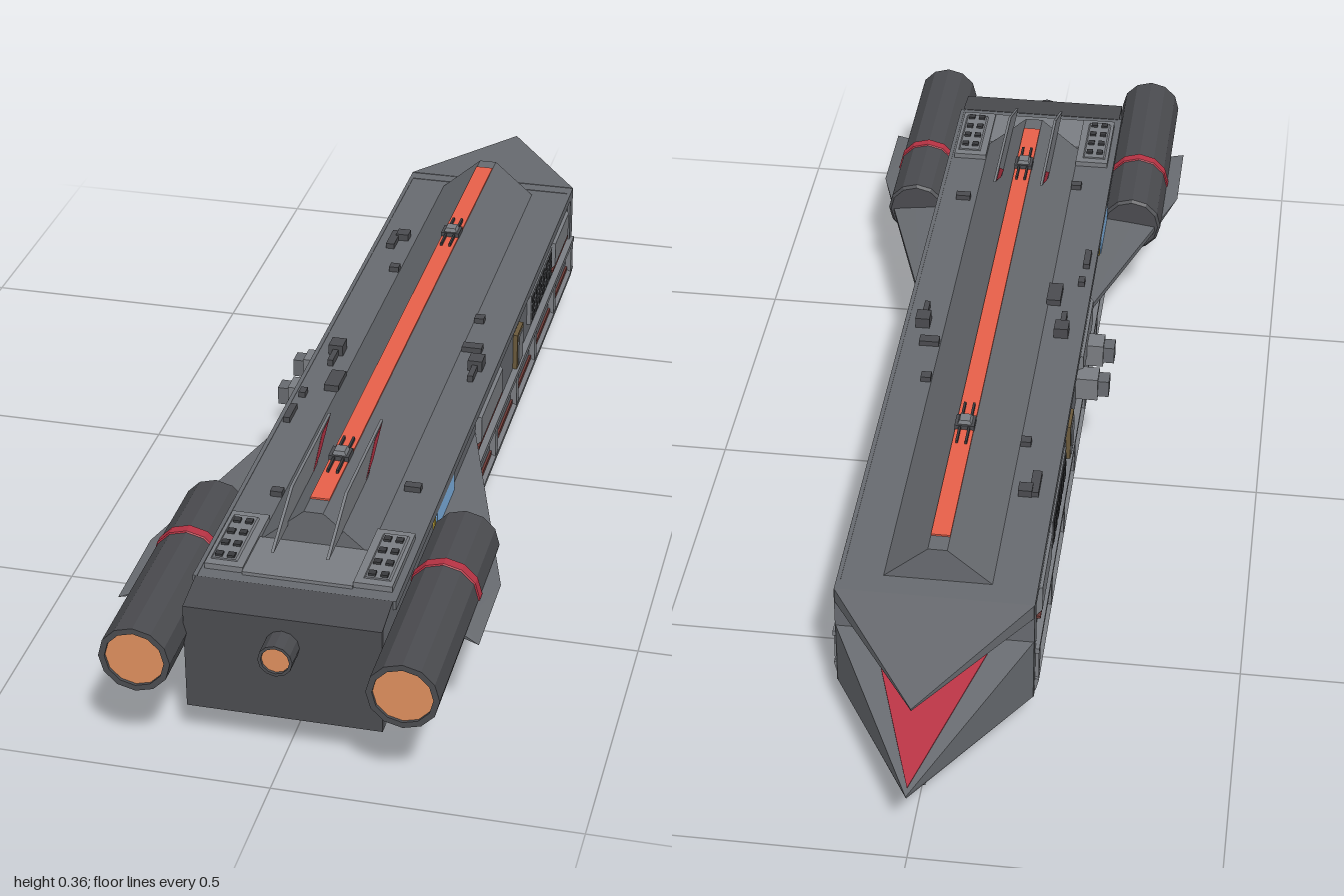
import * as THREE from 'three';
import { ConvexGeometry } from 'three/addons/geometries/ConvexGeometry.js';

const paint = (color) => new THREE.MeshStandardMaterial({ color, flatShading: true });
const HULL = paint(0x686b70), DARK = paint(0x4b4c50), LIGHT = paint(0x7b7e83), BLACK = paint(0x3a3b3e);
const RED = paint(0xb83344), ORANGE = paint(0xe8604a), GLOW = paint(0xe0905f);
const BLUE = paint(0x7fb4e6), YELLOW = paint(0xb39a35), BROWN = paint(0x6b5a3c), RUST = paint(0x6e3a36);

function add(parent, name, geometry, material) {
  const mesh = new THREE.Mesh(geometry, material);
  mesh.name = name;
  parent.add(mesh);
  return mesh;
}

// Box given by its extents on each axis
function box(parent, name, material, x0, x1, y0, y1, z0, z1) {
  const g = new THREE.BoxGeometry(Math.abs(x1 - x0), Math.abs(y1 - y0), Math.abs(z1 - z0));
  g.translate((x0 + x1) / 2, (y0 + y1) / 2, (z0 + z1) / 2);
  return add(parent, name, g, material);
}

// Convex solid from [x, y, z] corners
const solid = (parent, name, material, pts) =>
  add(parent, name, new ConvexGeometry(pts.map((p) => new THREE.Vector3(...p))), material);

// Same, with every corner mirrored across the centre plane
const mirrored = (parent, name, material, pts) =>
  solid(parent, name, material, pts.flatMap(([x, y, z]) => (x ? [[x, y, z], [-x, y, z]] : [[x, y, z]])));

// Lathe whose axis runs along z; profile is [radius, z]
function turned(parent, name, material, profile, x, y, sides = 12) {
  const g = new THREE.LatheGeometry(profile.map(([r, z]) => new THREE.Vector2(r, z)), sides);
  g.rotateX(Math.PI / 2);
  g.translate(x, y, 0);
  return add(parent, name, g, material);
}

function buildHull(root) {
  mirrored(root, 'body', HULL, [
    [0.16, 0.072, 0.9], [0.16, 0.259, 0.9], [0.16, 0.27, 0.84], [0.16, 0.27, -0.68], [0.16, 0.072, -0.68]]);
  box(root, 'sternPlate', DARK, -0.16, 0.16, 0.072, 0.259, 0.9, 0.912);
  mirrored(root, 'sternSlope', DARK, [
    [0.16, 0.271, 0.84], [0.16, 0.26, 0.912], [0.16, 0.25, 0.912], [0.16, 0.25, 0.84]]);
  box(root, 'bellyPlate', BLACK, -0.155, 0.155, 0.07, 0.073, -0.68, 0.9);

  // Raised roof, ridge strip and end brackets
  mirrored(root, 'roof', HULL, [
    [0.09, 0.27, 0.715], [0.016, 0.334, 0.715], [0.09, 0.27, -0.635], [0.016, 0.334, -0.635]]);
  box(root, 'ridgeStrip', ORANGE, -0.016, 0.016, 0.332, 0.337, -0.6, 0.675);
  box(root, 'roofDeck', LIGHT, -0.09, 0.09, 0.27, 0.276, 0.715, 0.82);
  for (const z of [-0.3, 0.54]) {
    box(root, 'ridgeBracket', DARK, -0.017, 0.017, 0.335, 0.345, z - 0.016, z + 0.016);
    mirrored(root, 'ridgeBracketCap', LIGHT, [
      [0.012, 0.345, z - 0.012], [0.012, 0.345, z + 0.012], [0.009, 0.352, z - 0.01], [0.009, 0.352, z + 0.01]]);
    for (const x of [-0.008, 0.008])
      box(root, 'ridgeRod', BLACK, x - 0.002, x + 0.002, 0.337, 0.343, z - 0.055, z + 0.055);
  }

  // Split nose
  mirrored(root, 'lowerNose', HULL, [
    [0.165, 0.074, -0.68], [0.165, 0.195, -0.68], [0, 0.134, -1], [0, 0.126, -0.995]]);
  mirrored(root, 'noseRedPanel', RED, [
    [0.1, 0.195, -0.69], [0, 0.139, -0.985], [0.1, 0.187, -0.69], [0, 0.131, -0.98]]);
  mirrored(root, 'upperNose', HULL, [
    [0.165, 0.272, -0.68], [0.165, 0.245, -0.68], [0, 0.257, -0.932], [0, 0.252, -0.93]]);
  box(root, 'noseCollar', HULL, -0.165, 0.165, 0.075, 0.271, -0.682, -0.655);

  // Keel with a red seam
  mirrored(root, 'keel', LIGHT, [
    [0.02, 0.072, 0.765], [0.005, 0, 0.765], [0.02, 0.072, -0.835], [0.005, 0, -0.835]]);
  box(root, 'keelSeam', RUST, -0.021, 0.021, 0.067, 0.071, -0.67, 0.765);

  // Central thruster
  turned(root, 'centreThruster', DARK, [[0.028, 0.9], [0.028, 0.955], [0.023, 0.955], [0.023, 0.948]], 0, 0.21);
  turned(root, 'centreThrusterGlow', GLOW, [[0.024, 0.947], [0.024, 0.95], [0, 0.95]], 0, 0.21);
}

function buildSide(root, s) {
  const side = new THREE.Group();
  side.name = s > 0 ? 'leftSide' : 'rightSide';
  root.add(side);
  const b = (name, mat, x0, x1, ...rest) => box(side, name, mat, s * x0, s * x1, ...rest);
  const c = (name, mat, pts) => solid(side, name, mat, pts.map(([x, y, z]) => [s * x, y, z]));

  // Framed lower band
  b('bandTopRail', LIGHT, 0.158, 0.172, 0.16, 0.17, -0.67, 0.85);
  c('bandBottomRail', LIGHT, [-0.67, 0.85].flatMap((z) => [
    [0.158, 0.076, z], [0.167, 0.08, z], [0.172, 0.102, z], [0.158, 0.108, z]]));
  b('bandSeam', RUST, 0.158, 0.164, 0.105, 0.113, -0.66, 0.84);
  for (const z of [0.84, 0.66, 0.485, 0.3, 0.09, -0.1, -0.275, -0.47, -0.655])
    b('bandRib', LIGHT, 0.158, 0.171, 0.1, 0.165, z - 0.01, z + 0.01);
  b('upperTrim', HULL, 0.158, 0.165, 0.255, 0.271, -0.66, 0.84);

  // Raised boxes on the upper wall
  for (const [z0, z1] of [[0.03, 0.23], [-0.62, -0.46]]) {
    c('wallBox', LIGHT, [[0.158, 0.195, z0], [0.158, 0.258, z0], [0.158, 0.195, z1], [0.158, 0.258, z1],
      [0.17, 0.203, z0 + 0.01], [0.17, 0.25, z0 + 0.01], [0.17, 0.203, z1 - 0.01], [0.17, 0.25, z1 - 0.01]]);
    b('wallBoxSeam', RUST, 0.158, 0.168, 0.192, 0.197, z0, z1);
  }

  // Vent grid
  b('ventPlate', LIGHT, 0.158, 0.168, 0.195, 0.255, -0.445, -0.235);
  for (let i = 0; i < 6; i++) for (let j = 0; j < 3; j++) {
    const z = -0.425 + i * 0.034, y = 0.207 + j * 0.018;
    b('ventHole', BLACK, 0.166, 0.1695, y - 0.006, y + 0.006, z - 0.011, z + 0.011);
  }

  // Door and bay window
  b('doorFrame', BROWN, 0.158, 0.168, 0.168, 0.24, -0.16, -0.105);
  b('door', LIGHT, 0.166, 0.17, 0.175, 0.233, -0.152, -0.113);
  b('windowFrame', YELLOW, 0.158, 0.163, 0.166, 0.262, 0.412, 0.56);
  b('window', BLUE, 0.161, 0.165, 0.172, 0.255, 0.42, 0.55);

  // Wing, thick at the root and sharp at the tip
  c('wing', HULL, [[0.158, 0.224, 0.22], [0.158, 0.214, 0.22], [0.158, 0.222, 0.75], [0.158, 0.19, 0.75],
    [0.26, 0.21, 0.55], [0.26, 0.198, 0.55], [0.295, 0.205, 0.66], [0.295, 0.203, 0.83], [0.26, 0.21, 0.79]]);

  // Engine
  const x = s * 0.213, y = 0.21;
  turned(side, 'engine', DARK, [[0, 0.545], [0.052, 0.545], [0.057, 0.55], [0.058, 1], [0.048, 1], [0.048, 0.99]], x, y);
  turned(side, 'engineBand', RED, [[0.057, 0.696], [0.0595, 0.698], [0.0595, 0.716], [0.057, 0.718]], x, y);
  turned(side, 'engineGlow', GLOW, [[0.049, 0.985], [0.049, 0.995], [0, 0.995]], x, y);

  // Swept tail fin with a red leading tip
  const fin = (name, mat, w, pts) => c(name, mat,
    pts.flatMap(([z, h]) => [[0.045 - w, h, z], [0.045 + w, h, z]]));
  fin('tailFin', LIGHT, 0.0025, [[0.8, 0.305], [0.68, 0.356], [0.44, 0.356], [0.55, 0.305]]);
  fin('tailFinTip', RED, 0.003, [[0.5, 0.351], [0.45, 0.354], [0.515, 0.32], [0.56, 0.31]]);

  // Stern pad with studs
  b('sternPad', LIGHT, 0.09, 0.153, 0.268, 0.28, 0.655, 0.815);
  c('sternPadCap', LIGHT, [0.67, 0.8].flatMap((z) => [
    [0.102, 0.279, z], [0.148, 0.279, z], [0.106, 0.283, z], [0.144, 0.283, z]]));
  for (let i = 0; i < 4; i++) for (const px of [0.115, 0.135])
    b('padStud', BLACK, px - 0.006, px + 0.006, 0.28, 0.287, 0.682 + i * 0.034, 0.694 + i * 0.034);

  // Belly hatches: bevelled frame around a dark opening
  for (const z of [0.21, 0.45, 0.68]) {
    b('hatchBase', BROWN, 0.045, 0.107, 0.067, 0.072, z - 0.085, z + 0.085);
    for (const e of [-1, 1]) {
      b('hatchEnd', HULL, 0.055, 0.097, 0.056, 0.068, z + e * 0.075 - 0.01, z + e * 0.075 + 0.01);
      b('hatchRail', HULL, 0.076 + e * 0.02 - 0.005, 0.076 + e * 0.02 + 0.005, 0.056, 0.068, z - 0.075, z + 0.075);
    }
    b('hatchFloor', BLACK, 0.06, 0.092, 0.064, 0.068, z - 0.07, z + 0.07);
  }
}

// Small deck fittings: [x, z, half width, half length, height]
function buildFittings(root) {
  const fittings = [
    [-0.13, -0.37, 0.008, 0.03, 0.01], [-0.115, -0.39, 0.012, 0.012, 0.013], [-0.1, -0.255, 0.009, 0.009, 0.01],
    [-0.125, 0.08, 0.013, 0.015, 0.02], [-0.125, 0.115, 0.005, 0.02, 0.012], [-0.1, 0.195, 0.013, 0.028, 0.012],
    [-0.148, 0.32, 0.006, 0.025, 0.01], [-0.145, 0.245, 0.006, 0.01, 0.01], [-0.1, 0.575, 0.01, 0.008, 0.01],
    [0.13, 0.08, 0.013, 0.015, 0.02], [0.13, 0.115, 0.005, 0.02, 0.012], [0.11, 0.02, 0.018, 0.01, 0.01],
    [0.1, -0.09, 0.009, 0.009, 0.01], [0.115, 0.51, 0.014, 0.008, 0.01]];
  for (const [x, z, w, l, h] of fittings)
    box(root, 'deckFitting', DARK, x - w, x + w, 0.268, 0.27 + h, z - l, z + l);

  // Docking blocks on one flank only
  for (const z of [0.025, 0.13]) {
    box(root, 'dockingBlock', LIGHT, -0.2, -0.158, 0.18, 0.225, z - 0.02, z + 0.02);
    box(root, 'dockingBlockTip', HULL, -0.22, -0.2, 0.186, 0.219, z - 0.015, z + 0.015);
  }
}

export function createModel() {
  const root = new THREE.Group();
  root.name = 'spaceship';
  buildHull(root);
  for (const s of [1, -1]) buildSide(root, s);
  buildFittings(root);
  return root;
}
